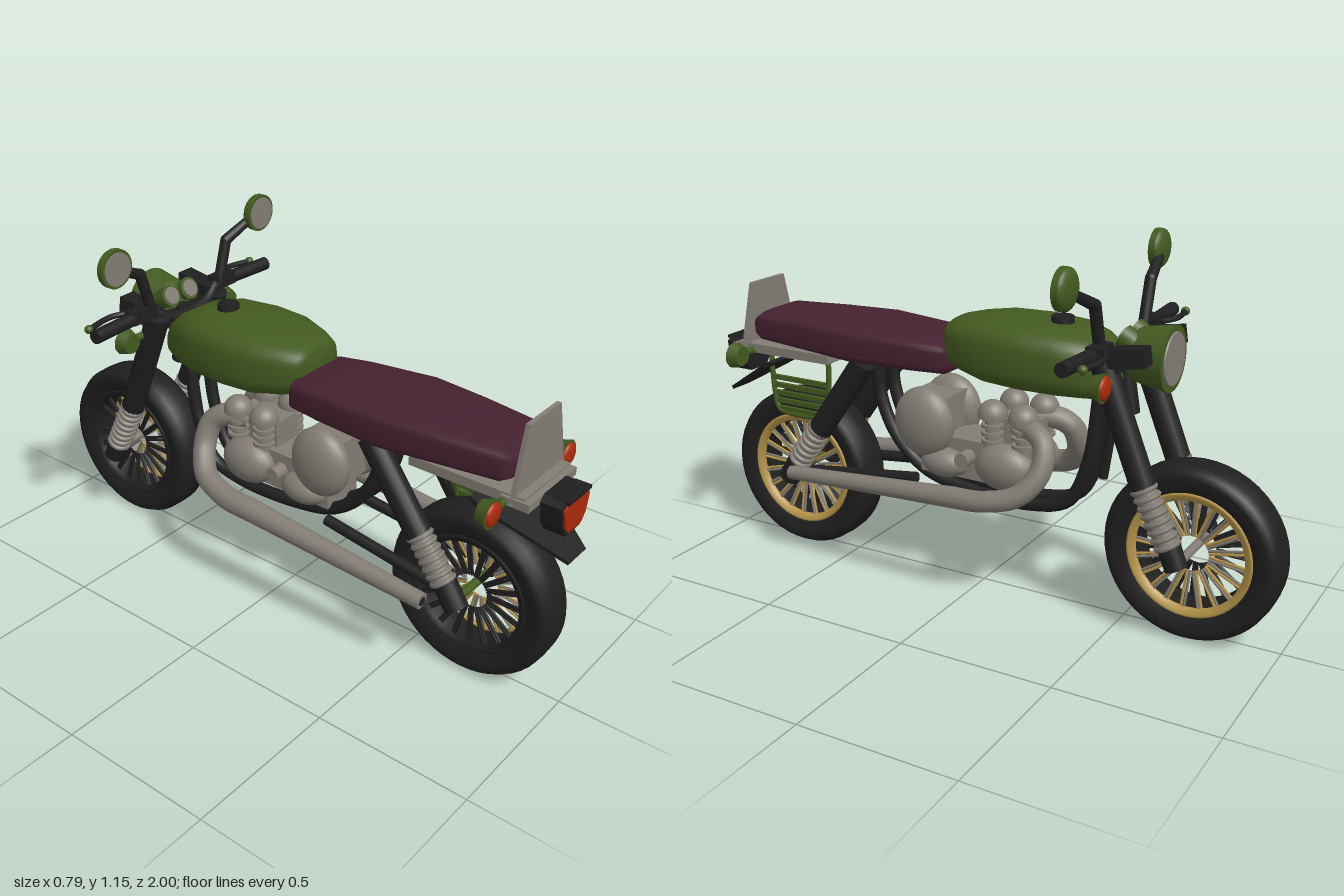
import * as THREE from 'three';

const V = (x, y, z) => new THREE.Vector3(x, y, z);
const mat = (name, color) => {
  const m = new THREE.MeshStandardMaterial({ color });
  m.name = name;
  return m;
};

export function createModel() {
  const root = new THREE.Group();
  root.name = 'motorcycle';
  const green = mat('green paint', 0x435a20), maroon = mat('maroon leather', 0x452130);
  const black = mat('black', 0x1f1f20), grey = mat('warm grey metal', 0x827c74);
  const gold = mat('gold rim', 0xb5944a), red = mat('red lens', 0xaa290a);

  // Helpers
  const add = (name, geo, m, p = [0, 0, 0], parent = root) => {
    const mesh = new THREE.Mesh(geo, m);
    mesh.name = name;
    mesh.position.set(...p);
    parent.add(mesh);
    return mesh;
  };
  const rod = (name, a, b, r, m, r2 = r, seg = 16, parent = root) => {
    const A = V(...a), B = V(...b), d = B.clone().sub(A);
    const mesh = add(name, new THREE.CylinderGeometry(r2, r, d.length(), seg), m, [0, 0, 0], parent);
    mesh.position.copy(A).add(B).multiplyScalar(0.5);
    mesh.quaternion.setFromUnitVectors(V(0, 1, 0), d.normalize());
    return mesh;
  };
  const tube = (name, pts, r, m, n = 40) =>
    add(name, new THREE.TubeGeometry(new THREE.CatmullRomCurve3(pts.map(p => V(...p)), false, 'centripetal'), n, r, 12), m);
  const box = (name, s, p, m) => add(name, new THREE.BoxGeometry(...s), m, p);
  const ball = (name, s, p, m) => {
    const b = add(name, new THREE.SphereGeometry(1, 20, 14), m, p);
    b.scale.set(...s);
    return b;
  };
  // Half ball bulging along z, dir = +1 or -1
  const dome = (name, r, depth, p, dir, m) => {
    const g = new THREE.SphereGeometry(1, 24, 8, 0, Math.PI * 2, 0, Math.PI / 2).rotateX(dir * Math.PI / 2);
    add(name, g, m, p).scale.set(r, r, depth);
  };
  const spring = (name, a, b, n, R, r) => {
    const A = V(...a), B = V(...b), q = new THREE.Quaternion().setFromUnitVectors(V(0, 0, 1), B.clone().sub(A).normalize());
    rod(name + 'Core', a, b, R - r, grey);
    for (let i = 0; i < n; i++) {
      const t = add(name + 'Coil', new THREE.TorusGeometry(R - r, r, 6, 18), grey);
      t.position.lerpVectors(A, B, (i + 0.5) / n);
      t.quaternion.copy(q);
    }
  };
  // Rounded body from sections [z, halfWidth, bottom, top], ordered by z
  const loft = (secs, cx, pow, n = 32) => {
    const tip = s => [s[0], 0.001, (s[2] + s[3]) / 2 - 0.001, (s[2] + s[3]) / 2 + 0.001];
    const all = [tip(secs[0]), ...secs, tip(secs[secs.length - 1])], pos = [], idx = [];
    const sp = v => Math.sign(v) * Math.abs(v) ** pow;
    all.forEach(([z, w, y0, y1]) => {
      for (let j = 0; j < n; j++) {
        const a = j / n * Math.PI * 2;
        pos.push(cx + w * sp(Math.cos(a)), (y0 + y1) / 2 + (y1 - y0) / 2 * sp(Math.sin(a)), z);
      }
    });
    for (let i = 0; i < all.length - 1; i++) for (let j = 0; j < n; j++) {
      const a = i * n + j, b = i * n + (j + 1) % n, c = b + n, d = a + n;
      idx.push(a, b, d, b, c, d);
    }
    const g = new THREE.BufferGeometry();
    g.setAttribute('position', new THREE.Float32BufferAttribute(pos, 3));
    g.setIndex(idx);
    g.computeVertexNormals();
    return g;
  };
  const plate = (pts, depth) => {
    const g = new THREE.ExtrudeGeometry(new THREE.Shape(pts.map(p => new THREE.Vector2(...p))), { depth, bevelEnabled: false });
    return g.translate(0, 0, -depth / 2);
  };

  // Wheels: gold rim on the left face, black on the right, open centre
  const lathe = pts => new THREE.LatheGeometry(pts.map(p => new THREE.Vector2(...p)), 48).rotateZ(-Math.PI / 2);
  const wheel = (name, x, z) => {
    const g = new THREE.Group();
    g.name = name;
    g.position.set(x, 0.276, z);
    root.add(g);
    add('tyre', lathe([[0.187, -0.045], [0.2, -0.058], [0.24, -0.068], [0.262, -0.062], [0.274, -0.04], [0.276, 0],
      [0.274, 0.04], [0.262, 0.062], [0.24, 0.068], [0.2, 0.058], [0.187, 0.045], [0.187, -0.045]]), black, [0, 0, 0], g);
    add('goldRim', lathe([[0.172, 0.036], [0.195, 0.036], [0.195, 0.058], [0.188, 0.061], [0.17, 0.05], [0.172, 0.036]]), gold, [0, 0, 0], g);
    add('blackRim', lathe([[0.177, 0.036], [0.172, -0.05], [0.19, -0.061], [0.197, -0.056], [0.197, 0.036], [0.177, 0.036]]), black, [0, 0, 0], g);
    for (let i = 0; i < 40; i++) {
      const a = i / 40 * Math.PI * 2, b = a + 0.05 * (i % 2 ? 1 : -1);
      for (const s of [-1, 1])
        rod('spoke', [s * 0.03, Math.cos(a) * 0.056, Math.sin(a) * 0.056],
          [s * 0.042, Math.cos(b) * 0.177, Math.sin(b) * 0.177], 0.0048, s < 0 ? black : i % 4 < 2 ? grey : gold, 0.0048, 6, g);
    }
  };
  wheel('rearWheel', 0, 0.695);
  wheel('frontWheel', 0.01, -0.722);
  rod('rearAxle', [-0.12, 0.285, 0.69], [0.12, 0.285, 0.69], 0.014, green);
  rod('frontAxle', [-0.13, 0.285, -0.722], [0.14, 0.285, -0.722], 0.014, grey);

  // Tank and seat
  add('tank', loft([[-0.477, 0.07, 0.705, 0.80], [-0.45, 0.088, 0.70, 0.845], [-0.38, 0.13, 0.70, 0.885], [-0.3, 0.158, 0.70, 0.905],
    [-0.18, 0.171, 0.702, 0.912], [-0.06, 0.163, 0.708, 0.91], [0.03, 0.132, 0.725, 0.897], [0.085, 0.102, 0.742, 0.884],
    [0.1, 0.085, 0.76, 0.872]], -0.006, 0.62), green);
  rod('tankCap', [-0.008, 0.9, -0.265], [-0.008, 0.925, -0.265], 0.036, black, 0.034);
  add('seat', loft([[0.078, 0.115, 0.73, 0.795], [0.09, 0.132, 0.713, 0.812], [0.2, 0.148, 0.711, 0.823], [0.42, 0.168, 0.711, 0.835],
    [0.6, 0.15, 0.72, 0.833], [0.8, 0.124, 0.727, 0.827], [0.826, 0.11, 0.74, 0.81]], -0.008, 0.42), maroon);

  // Tail: rack, upright plate, mudflap and lamp
  box('tailRack', [0.25, 0.03, 0.37], [-0.008, 0.703, 0.705], grey);
  box('tailLedge', [0.26, 0.025, 0.09], [-0.013, 0.7, 0.865], grey);
  add('tailPlate', plate([[-0.145, 0.69], [0.135, 0.69], [0.075, 0.915], [-0.09, 0.915]], 0.014), grey, [0, 0, 0.856]);
  const flap = add('mudflap', plate([[-0.05, -0.15], [0.04, -0.15], [0.145, 0.12], [0.145, 0.16], [-0.15, 0.16], [-0.15, 0.12]], 0.012),
    black, [0, 0.592, 0.87]);
  flap.rotation.x = -1.04;
  const lamp = [[-0.045, -0.06], [0.035, -0.06], [0.062, -0.025], [0.075, 0.045], [0.055, 0.062], [-0.065, 0.062], [-0.085, 0.045], [-0.07, -0.025]];
  add('tailLamp', plate(lamp, 0.065), black, [0, 0.652, 0.943]);
  add('tailLens', plate(lamp.map(([x, y]) => [x * 0.87, y * 0.78]), 0.006), red, [0, 0.65, 0.978]);
  box('lampHood', [0.125, 0.01, 0.05], [-0.005, 0.709, 0.963], black);

  // Turn signals: tapered green shell with a shallow red lens
  const signal = (name, s, x, y, z, dir) => {
    rod(name + 'Stalk', [s * 0.1, y, z], [s * (x - 0.01), y, z], 0.013, green);
    rod(name + 'Shell', [s * x, y, z - dir * 0.024], [s * x, y, z + dir * 0.012], 0.033, green, 0.044, 10);
    dome(name + 'Lens', 0.036, 0.014, [s * x, y, z + dir * 0.0122], dir, red);
  };
  for (const s of [-1, 1]) {
    signal('rearSignal', s, s < 0 ? 0.215 : 0.194, 0.695, 0.832, 1);
    signal('frontSignal', s, 0.23, 0.8, -0.5, -1);
  }

  for (const s of [-1, 1]) {
    // Rear shocks
    const rx = s * 0.117;
    rod('rearShockBody', [rx, 0.72, 0.375], [rx, 0.46, 0.56], 0.04, black);
    spring('rearSpring', [rx, 0.47, 0.555], [rx, 0.33, 0.655], 7, 0.043, 0.009);
    rod('rearShockFoot', [rx, 0.335, 0.655], [rx, 0.265, 0.7], 0.037, black);
    // Front forks
    const fx = s * 0.135 + 0.004;
    rod('forkTube', [fx, 0.87, -0.455], [fx, 0.49, -0.605], 0.039, black);
    spring('forkSpring', [fx, 0.5, -0.6], [fx, 0.32, -0.69], 8, 0.043, 0.009);
    rod('forkFoot', [fx, 0.335, -0.685], [fx, 0.265, -0.715], 0.035, black);
    box('forkClamp', [0.06, 0.055, 0.14], [fx, 0.87, -0.53], black).rotation.x = 0.15;
    // Frame cradle
    const c = s * 0.042;
    tube('frameCradle', [[c, 0.71, 0.37], [c, 0.6, 0.365], [c, 0.47, 0.31], [c, 0.37, 0.2], [c, 0.33, 0.05],
      [c, 0.322, -0.2], [c, 0.36, -0.32], [c, 0.5, -0.385], [c, 0.72, -0.415]], 0.021, black, 60);
    // Swing arm
    rod('swingArm', [s * 0.09, 0.35, 0.2], [s * 0.1, 0.29, 0.69], 0.018, black);
    // Exhausts: bent header leaning inward, then a straight tapering pipe
    const px = s < 0 ? -0.213 : 0.202, pr = s < 0 ? 0.037 : 0.034;
    const ex = s * 0.194, ey = s < 0 ? 0.3 : 0.32, er = s < 0 ? 0.026 : 0.023;
    tube('exhaustHeader', [[s * 0.05, 0.575, -0.15], [s * 0.08, 0.575, -0.22], [s * 0.1, 0.545, -0.262], [s * 0.135, 0.47, -0.268],
      [px * 0.88, 0.4, -0.215], [px, 0.37, -0.11], [px, 0.362, 0]], pr, grey, 60);
    rod('exhaustPipe', [px, 0.363, -0.01], [ex, ey, 0.63], pr, grey, er);
    rod('exhaustBore', [ex, ey, 0.628], [ex, ey, 0.632], er * 0.55, black);
    // Engine covers
    ball('gearboxCover', [0.06, 0.115, 0.105], [s * 0.085, 0.545, 0.17], grey);
    ball('crankCover', [0.06, 0.075, 0.1], [s * 0.085, 0.445, -0.12], grey);
    ball('lowerCover', [0.06, 0.05, 0.085], [s * 0.07, 0.42, 0.1], grey);
    rod('coverBolt', [s * 0.08, 0.455, 0.01], [s * 0.13, 0.455, 0.01], 0.025, grey);
    // Finned cylinders with domed caps
    for (const z of [-0.07, -0.177]) {
      rod('cylinder', [s * 0.07, 0.48, z], [s * 0.07, 0.64, z], 0.024, grey);
      for (let i = 0; i < 4; i++) rod('fin', [s * 0.07, 0.515 + i * 0.025, z], [s * 0.07, 0.526 + i * 0.025, z], 0.036, grey);
      add('cylinderCap', new THREE.SphereGeometry(0.047, 18, 8, 0, Math.PI * 2, 0, Math.PI / 2), grey, [s * 0.07, 0.605, z]);
      rod('capBase', [s * 0.07, 0.598, z], [s * 0.07, 0.605, z], 0.047, grey);
    }
    // Grips, switches and levers
    rod('grip', [s * 0.395, 0.887, -0.46], [s * 0.23, 0.887, -0.47], 0.022, black);
    box('switchBox', [0.09, 0.042, 0.045], [s * 0.19, 0.89, -0.475], black);
    tube('lever', [[s * 0.2, 0.893, -0.5], [s * 0.27, 0.893, -0.525], [s * 0.37, 0.89, -0.512]], 0.009, black, 12);
    ball('leverTip', [0.014, 0.014, 0.014], [s * 0.372, 0.89, -0.512], green);
    // Mirrors on bent stems
    const mx = s < 0 ? -0.318 : 0.336, o = s < 0 ? 0 : 0.018;
    const bend = [s * 0.188 + o, 1.025, -0.466];
    rod('mirrorStemLower', [s * 0.145 + o, 0.88, -0.466], bend, 0.018, black);
    ball('mirrorStemBend', [0.018, 0.018, 0.018], bend, black);
    rod('mirrorStemUpper', bend, [s * 0.29 + o, 1.073, -0.45], 0.018, black, 0.015);
    dome('mirrorShell', 0.061, 0.024, [mx, 1.092, -0.442], -1, green);
    rod('mirrorRim', [mx, 1.092, -0.443], [mx, 1.092, -0.424], 0.061, green, 0.061, 28);
    rod('mirrorGlass', [mx, 1.092, -0.424], [mx, 1.092, -0.42], 0.052, grey, 0.052, 28);
    // Gauges tilted towards the rider
    rod('gauge', [s * 0.042, 0.872, -0.54], [s * 0.042, 0.903, -0.482], 0.03, green, 0.037);
    rod('gaugeFace', [s * 0.042, 0.903, -0.482], [s * 0.042, 0.905, -0.478], 0.028, grey);
  }

  // Handlebar, steering and headlight
  tube('handlebar', [[-0.25, 0.887, -0.468], [-0.16, 0.887, -0.47], [-0.08, 0.85, -0.452], [0.08, 0.85, -0.452], [0.16, 0.887, -0.47], [0.25, 0.887, -0.468]], 0.018, black);
  box('upperYoke', [0.3, 0.03, 0.07], [0.004, 0.835, -0.48], black);
  rod('steeringHead', [0, 0.86, -0.46], [0, 0.66, -0.495], 0.03, black);
  rod('downTube', [0, 0.72, -0.455], [0, 0.44, -0.415], 0.015, black);
  dome('headlightBack', 0.084, 0.045, [0.005, 0.845, -0.535], 1, green);
  rod('headlightDrum', [0.005, 0.845, -0.535], [0.005, 0.845, -0.625], 0.084, green, 0.099, 32);
  rod('headlightLens', [0.005, 0.845, -0.625], [0.005, 0.845, -0.63], 0.08, grey, 0.078, 32);

  // Engine core
  box('crankcase', [0.15, 0.13, 0.34], [0, 0.44, 0.02], grey);
  box('gearbox', [0.15, 0.15, 0.14], [0, 0.55, 0.17], grey);
  box('cylinderBlock', [0.1, 0.1, 0.17], [0, 0.54, -0.12], grey);

  // Side carrier beside the rear wheel
  const cx = 0.073;
  tube('carrierFrame', [[cx, 0.69, 0.785], [cx, 0.62, 0.785], [cx, 0.49, 0.765], [cx, 0.48, 0.74], [cx, 0.48, 0.6], [cx, 0.49, 0.575], [cx, 0.62, 0.55], [cx, 0.69, 0.55]], 0.009, green);
  for (let i = 0; i < 5; i++) box('carrierSlat', [0.012, 0.016, 0.2 + i * 0.004], [cx, 0.492 + i * 0.027, 0.668], green);

  return root;
}
